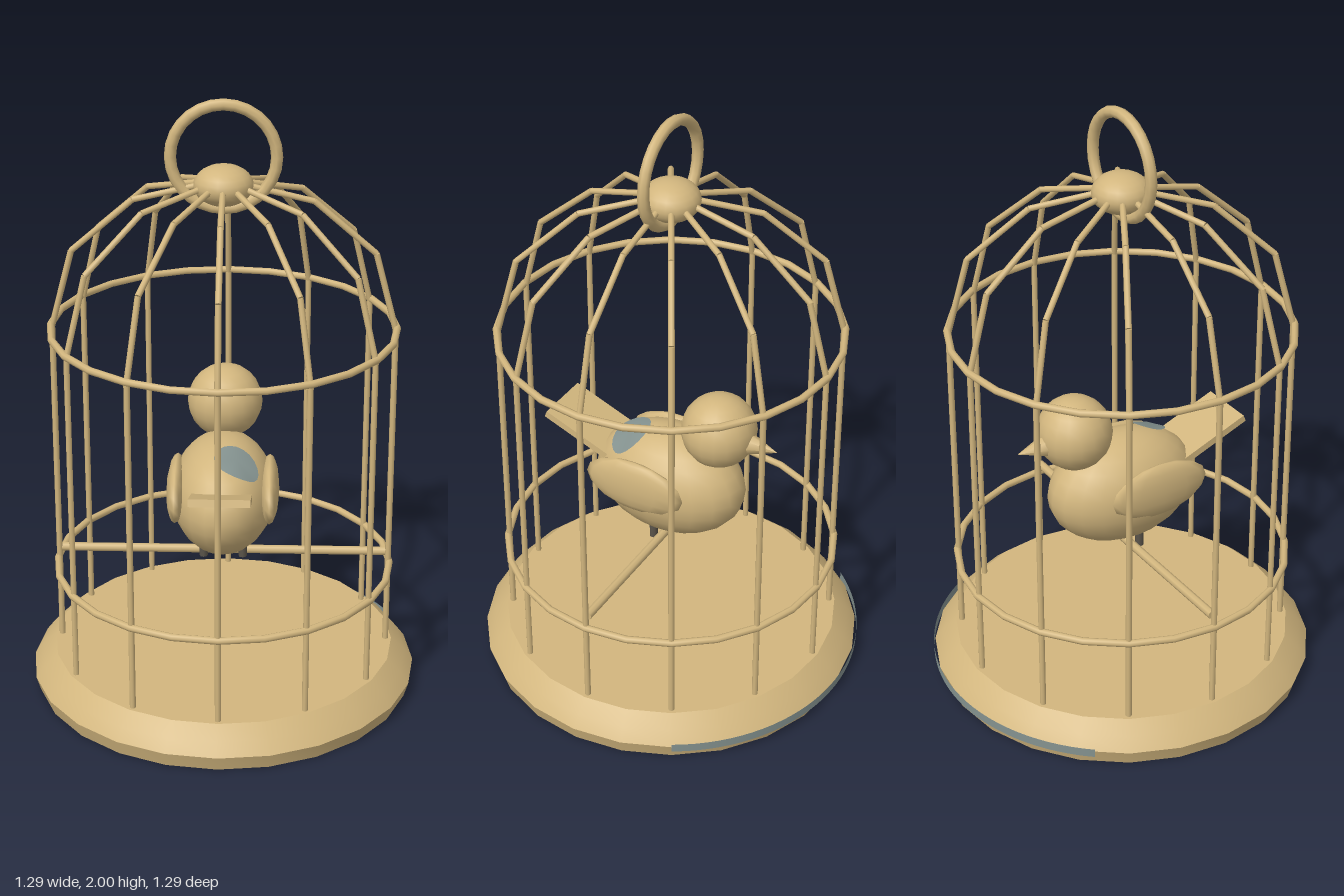
import * as THREE from 'three';
import { toCreasedNormals } from 'three/addons/utils/BufferGeometryUtils.js';

export function createModel() {
  const model = new THREE.Group();
  model.name = 'birdCage';
  const tan = new THREE.MeshStandardMaterial({ color: 0xd2b67e });
  const slate = new THREE.MeshStandardMaterial({ color: 0x84928f, side: THREE.DoubleSide });
  const dark = new THREE.MeshStandardMaterial({ color: 0x5a544a });

  function add(name, geometry, material, x = 0, y = 0, z = 0, parent = model) {
    const mesh = new THREE.Mesh(geometry, material);
    mesh.name = name;
    mesh.position.set(x, y, z);
    parent.add(mesh);
    return mesh;
  }
  const ellipsoid = (rx, ry, rz, w = 18, h = 12) =>
    new THREE.SphereGeometry(1, w, h).scale(rx, ry, rz);

  // Straight rod between two points
  function rod(name, a, b, radius, parent = model, material = tan) {
    const dir = b.clone().sub(a);
    const mesh = add(name, new THREE.CylinderGeometry(radius, radius, dir.length(), 8), material, 0, 0, 0, parent);
    mesh.position.copy(a).add(b).multiplyScalar(0.5);
    mesh.quaternion.setFromUnitVectors(new THREE.Vector3(0, 1, 0), dir.normalize());
    return mesh;
  }

  // Base tray
  const profile = [[0, 0], [0.63, 0], [0.645, 0.05], [0.615, 0.09], [0.57, 0.13], [0, 0.13]]
    .map(([r, y]) => new THREE.Vector2(r, y));
  add('base', toCreasedNormals(new THREE.LatheGeometry(profile, 24), 0.6), tan);

  // Thin trim strip around the rear of the rim
  const deg = Math.PI / 180;
  add('rimStrip', new THREE.CylinderGeometry(0.649, 0.649, 0.03, 32, 1, true, 120 * deg, 110 * deg), slate, 0, 0.05, 0);

  // Twelve bars, each bending in to the crown
  const barPath = [[0.55, 0.12], [0.55, 1.25], [0.482, 1.505], [0.285, 1.675], [0.05, 1.73]];
  for (let i = 0; i < 12; i++) {
    const bar = new THREE.Group();
    bar.name = 'bar' + (i + 1);
    bar.rotation.y = i * Math.PI / 6;
    for (let k = 1; k < barPath.length; k++) {
      const [a, b] = [barPath[k - 1], barPath[k]].map(([r, y]) => new THREE.Vector3(r, y, 0));
      rod('barSegment', a, b, 0.01, bar);
    }
    model.add(bar);
  }

  // Horizontal hoops
  for (const [name, y] of [['lowerHoop', 0.42], ['upperHoop', 1.255]]) {
    add(name, new THREE.TorusGeometry(0.555, 0.012, 8, 24).rotateX(Math.PI / 2), tan, 0, y, 0);
  }

  // Crown knob and hanging ring
  add('crownKnob', ellipsoid(0.095, 0.065, 0.095), tan, 0, 1.725, 0);
  add('hangingRing', new THREE.TorusGeometry(0.166, 0.019, 8, 28), tan, 0, 1.815, 0);

  // Perch
  rod('perch', new THREE.Vector3(-0.54, 0.46, 0), new THREE.Vector3(0.54, 0.46, 0), 0.015);

  // Bird, facing the rear of the cage
  const bird = new THREE.Group();
  bird.name = 'bird';
  model.add(bird);
  const body = { rx: 0.172, ry: 0.192, rz: 0.268, y: 0.673 };
  add('body', ellipsoid(body.rx, body.ry, body.rz, 20, 14), tan, 0, body.y, 0, bird);
  add('head', ellipsoid(0.125, 0.125, 0.125), tan, 0, 0.925, -0.18, bird);
  add('beak', new THREE.ConeGeometry(0.036, 0.1, 8).rotateX(-Math.PI / 2), tan, 0, 0.908, -0.342, bird);

  const tail = add('tail', new THREE.BoxGeometry(0.195, 0.024, 0.27), tan, 0, 0.783, 0.302, bird);
  tail.rotation.x = -0.37;

  for (const side of [-1, 1]) {
    const label = side > 0 ? 'left' : 'right';
    add(label + 'Wing', ellipsoid(0.032, 0.095, 0.182, 12, 8), tan, side * 0.153, 0.708, 0.052, bird);
    rod(label + 'Leg', new THREE.Vector3(side * 0.065, 0.45, 0.03), new THREE.Vector3(side * 0.065, 0.55, 0.03), 0.014, bird, dark);
  }

  // Back patch: a disc draped over the body
  const patch = new THREE.CircleGeometry(1, 20).rotateX(-Math.PI / 2).scale(0.072, 1, 0.062).translate(0.045, 0, 0.125);
  const p = patch.attributes.position;
  for (let i = 0; i < p.count; i++) {
    const u = p.getX(i) / body.rx, v = p.getZ(i) / body.rz;
    p.setY(i, body.y + 0.009 + body.ry * Math.sqrt(Math.max(0, 1 - u * u - v * v)));
  }
  patch.computeVertexNormals();
  add('backPatch', patch, slate, 0, 0, 0, bird);

  return model;
}
